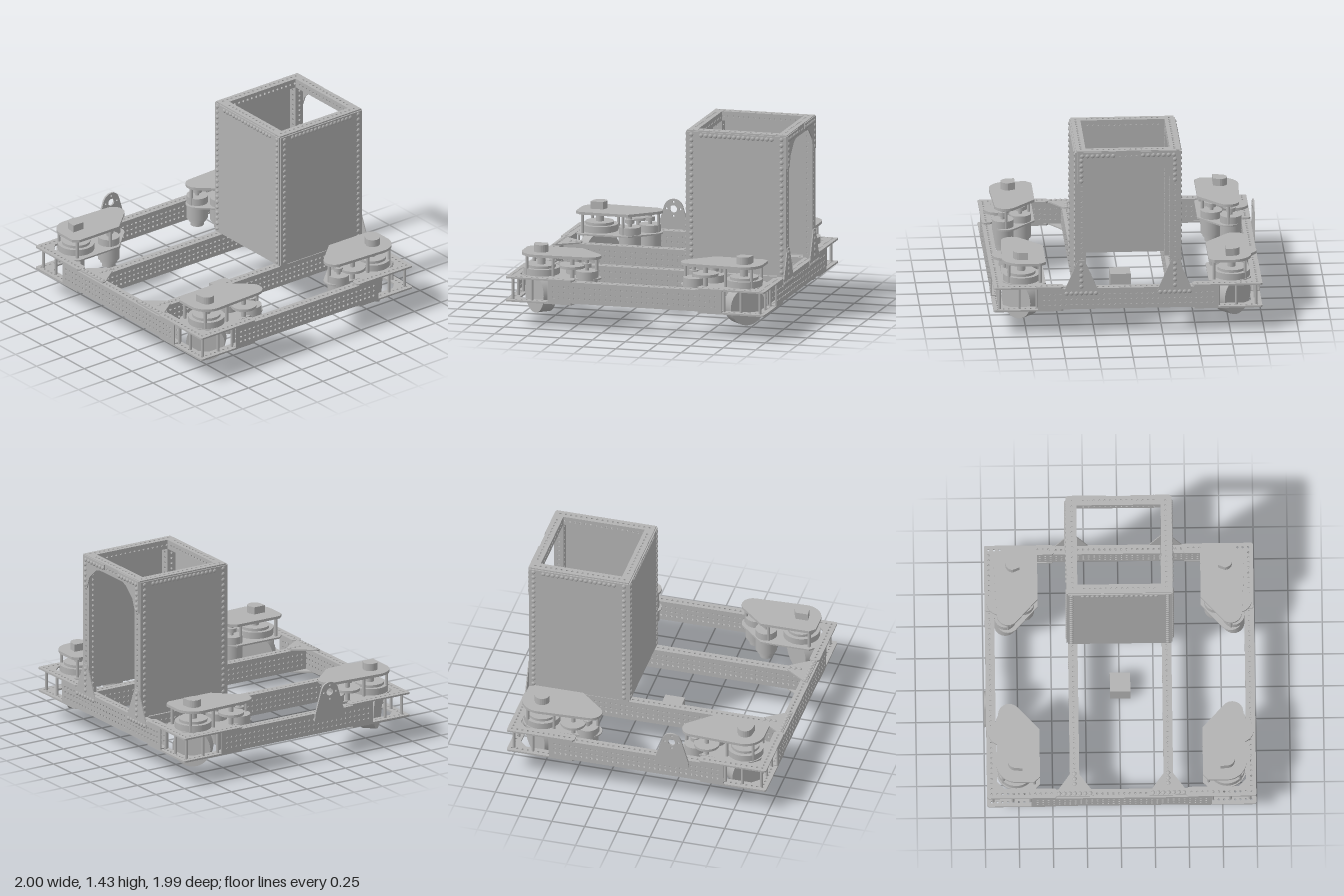
import * as THREE from 'three';
import { mergeGeometries } from 'three/addons/utils/BufferGeometryUtils.js';

const metal = new THREE.MeshStandardMaterial({ color: 0xb2b2b2 });
metal.name = 'plain aluminium';

const WALL = 0.008;      // tube wall
const PITCH = 0.04;      // hole spacing
const W = 0.07;          // tube width
const RAIL_H = 0.16, RAIL_Y = 0.285;
const IN = 0.345;        // inner rail offset
const EDGE = 0.955;      // outer rail centre line

function holePath(x, y, r, n = 8) {
  const pts = [];
  for (let i = 0; i < n; i++) {
    const a = (i / n) * Math.PI * 2;
    pts.push(new THREE.Vector2(x + r * Math.cos(a), y + r * Math.sin(a)));
  }
  return new THREE.Path(pts);
}

// Flat plate in XY, thickness along +z; holes are [x, y, r, sides]
function plate(pts, t, holes = []) {
  const s = new THREE.Shape(pts.map(([x, y]) => new THREE.Vector2(x, y)));
  s.holes = holes.map((h) => holePath(...h));
  return new THREE.ExtrudeGeometry(s, { depth: t, bevelEnabled: false });
}

// Horizontal plate drawn in XZ, hanging down from its top height
function slab(pts, top, t, holes) {
  return plate(pts, t, holes).rotateX(Math.PI / 2).translate(0, top, 0);
}

function perforated(len, h, rows) {
  const holes = [], n = Math.floor((len - 0.02) / PITCH);
  for (let r = 0; r < rows; r++)
    for (let i = 0; i < n; i++)
      holes.push([(i - (n - 1) / 2) * PITCH, (r - (rows - 1) / 2) * PITCH, 0.009]);
  const a = len / 2, b = h / 2;
  return plate([[-a, -b], [a, -b], [a, b], [-a, b]], WALL, holes);
}

// Hollow perforated tube along x
function tube(len, h, rows) {
  const parts = [];
  for (const a of [0, Math.PI]) {
    parts.push(perforated(len, h, rows).translate(0, 0, W / 2 - WALL).rotateY(a));
    parts.push(perforated(len, W - 2 * WALL, 1).translate(0, 0, h / 2 - WALL).rotateX(a - Math.PI / 2));
  }
  return mergeGeometries(parts);
}

function arc(cx, cy, r, a0, a1, n = 12) {
  const out = [];
  for (let i = 0; i <= n; i++) {
    const a = THREE.MathUtils.degToRad(a0 + ((a1 - a0) * i) / n);
    out.push([cx + r * Math.cos(a), cy + r * Math.sin(a)]);
  }
  return out;
}

export function createModel() {
  const model = new THREE.Group();
  model.name = 'wheeledChassis';
  const body = new THREE.Group();
  body.name = 'chassis';
  body.position.x = 0.006;
  model.add(body);

  const add = (name, geo, x = 0, y = 0, z = 0, parent = body) => {
    const m = new THREE.Mesh(geo, metal);
    m.name = name;
    m.position.set(x, y, z);
    parent.add(m);
    return m;
  };
  const disc = (r, y0, y1, n = 24) => new THREE.CylinderGeometry(r, r, y1 - y0, n).translate(0, (y0 + y1) / 2, 0);

  // Rivet heads: list of [x, y, z], dome pointing along +y before turn()
  const rivets = (name, list, turn) => add(name, mergeGeometries(list.map(([x, y, z]) =>
    turn(new THREE.SphereGeometry(0.016, 8, 3, 0, Math.PI * 2, 0, Math.PI / 2).scale(1, 0.6, 1)).translate(x, y, z))));
  const up = (g) => g;
  const front = (g) => g.rotateX(Math.PI / 2);
  const back = (g) => g.rotateX(-Math.PI / 2);

  // Base frame rails
  for (const s of [-1, 1]) {
    add('crossRail', tube(1.33, RAIL_H, 3), 0, RAIL_Y, s * EDGE);
    add('sideRail', tube(1.33, RAIL_H, 3).rotateY(Math.PI / 2), s * EDGE, RAIL_Y, 0);
    add('innerRail', tube(1.84, RAIL_H, 3).rotateY(Math.PI / 2), s * IN, RAIL_Y, 0);
  }

  // Triangular plates joining inner rails to the front rail
  for (const s of [-1, 1]) {
    const x = s * IN;
    const tri = [[x - 0.14, 0.975], [x + 0.14, 0.975], [x + 0.14, 0.95], [x + 0.025, 0.79], [x - 0.025, 0.79], [x - 0.14, 0.95]];
    add('frontGusset', slab(tri, 0.375, 0.01));
    add('frontGussetLower', slab(tri, 0.205, 0.01));
    const list = [0.8, 0.84, 0.88].map((z) => [x, 0.375, z]);
    for (let i = -3; i <= 3; i++) list.push([x + i * 0.038, 0.375, 0.955]);
    rivets('frontGussetRivets', list, up);
  }

  // Drive module at each corner
  for (const sx of [-1, 1]) for (const sz of [-1, 1]) {
    const mod = new THREE.Group();
    mod.name = 'driveModule';
    body.add(mod);
    const at = (pts) => pts.map(([x, z, ...r]) => [x * sx, z * sz, ...r]);
    const put = (name, geo, x = 0, z = 0) => add(name, geo, x * sx, 0, z * sz, mod);

    // L-shaped corner plates
    const ell = at([...arc(0.975, 0.975, 0.015, 0, 90, 4), [0.49, 0.99], [0.475, 0.975], [0.475, 0.93], [0.49, 0.915],
      [0.86, 0.915], [0.915, 0.86], [0.915, 0.49], [0.93, 0.475], [0.975, 0.475], [0.99, 0.49]]);
    const dots = [[EDGE, EDGE, 0.009]];
    for (let i = 1; i < 12; i++) dots.push([EDGE - i * PITCH, EDGE, 0.009], [EDGE, EDGE - i * PITCH, 0.009]);
    put('cornerPlateTop', slab(ell, 0.378, 0.013, at(dots)));
    put('cornerPlateBottom', slab(ell, 0.205, 0.013, at(dots)));
    for (const [x, z] of [[0.945, 0.945], [0.945, 0.8], [0.8, 0.945], [0.67, 0.945], [0.945, 0.67]])
      put('cornerPost', disc(0.011, 0.2, 0.37, 10), x, z);

    // Deck and raised cover share one rounded outline
    const outline = at([[0.6, 0.88], [0.6, 0.51], ...arc(0.82, 0.39, 0.082, -135, 0), ...arc(0.775, 0.775, 0.145, 0, 90), [0.64, 0.92]]);
    put('moduleDeck', slab(outline, 0.376, 0.012));
    put('moduleCover', slab(outline, 0.54, 0.02));
    for (const [x, z] of [[0.64, 0.87], [0.64, 0.56], [0.87, 0.86], [0.87, 0.66], [0.82, 0.34]])
      put('coverPost', disc(0.012, 0.37, 0.525, 10), x, z);

    // Steering turret, gears and cap
    put('turret', disc(0.135, 0.375, 0.425, 36), 0.775, 0.775);
    put('turretStep', disc(0.105, 0.425, 0.445, 32), 0.775, 0.775);
    put('turretShaft', disc(0.03, 0.44, 0.525, 16), 0.775, 0.775);
    put('gear', disc(0.095, 0.455, 0.475, 32), 0.88, 0.51);
    put('gearShaft', disc(0.018, 0.37, 0.525, 12), 0.88, 0.51);
    put('sensorCap', slab(at([[0.73, 0.835], [0.73, 0.74], ...arc(0.78, 0.775, 0.055, -90, 90)]), 0.595, 0.06));

    // Pair of hanging motors
    for (const [x, z] of [[0.84, 0.41], [0.705, 0.525]]) {
      put('motor', disc(0.08, 0.25, 0.43), x, z);
      put('motorNeck', disc(0.065, 0.225, 0.25), x, z);
      put('motorEnd', disc(0.05, 0.19, 0.225, 16), x, z);
      put('motorShaft', disc(0.015, 0.43, 0.525, 12), x, z);
      put('pinion', disc(0.035, 0.455, 0.485, 16), x, z);
    }

    // Wheel with its axle pointing outward along the diagonal
    const wheel = new THREE.CylinderGeometry(0.143, 0.143, 0.107, 40).rotateZ(Math.PI / 2).rotateY(-Math.atan2(sz, sx));
    put('wheel', wheel.translate(0, 0.228, 0), 0.78, 0.78);
  }

  // Tower posts and top ring
  const ZB = -0.95, ZF = -0.26, ZM = (ZB + ZF) / 2, TOP = 1.395;
  for (const s of [-1, 1]) {
    for (const z of [ZB, ZF])
      add('towerPost', tube(0.995, W, 1).rotateZ(Math.PI / 2), s * IN, 0.8625, z);
    add('towerSideBeam', tube(ZF - ZB + W, W, 1).rotateY(Math.PI / 2), s * IN, TOP, ZM);
  }
  for (const z of [ZB, ZF]) add('towerCrossBeam', tube(2 * IN - W, W, 1), 0, TOP, z);

  // Tower panels on the front and both sides, with riveted edges
  const edgeRivets = (half) => {
    const list = [];
    for (let i = 0; i < 24; i++) for (const s of [-1, 1]) list.push([s * half, 0.4 + i * 0.0434]);
    for (let i = 0; i < 16; i++) list.push([(i / 15 - 0.5) * 0.54, TOP]);
    return list;
  };
  add('frontPanel', new THREE.BoxGeometry(0.76, 1.045, 0.01), 0, 0.8975, -0.22);
  rivets('frontPanelRivets', edgeRivets(0.355).map(([x, y]) => [x, y, -0.215]), front);
  for (const s of [-1, 1]) {
    add('sidePanel', new THREE.BoxGeometry(0.01, 1.045, 0.76), s * 0.385, 0.8975, ZM);
    rivets('sidePanelRivets', edgeRivets(0.345).map(([z, y]) => [s * 0.39, y, z + ZM]), (g) => g.rotateZ(-s * Math.PI / 2));
  }

  // Gussets on the open back of the tower
  for (const s of [-1, 1]) {
    const x = s * IN;
    const foot = [[x - 0.13, 0.31], [x + 0.13, 0.31], [x + 0.13, 0.34], [x + 0.025, 0.58], [x - 0.025, 0.58], [x - 0.13, 0.34]];
    add('footGusset', plate(foot, 0.008), 0, 0, -0.993);
    const corner = [[0.375, 1.425], [0.09, 1.425], [0.09, 1.385], [0.2, 1.35], [0.29, 1.27], [0.325, 1.18], [0.375, 1.18]];
    add('topGusset', plate(corner.map(([a, b]) => [a * s, b]), 0.008), 0, 0, -0.993);
    const list = [];
    for (let i = 0; i < 7; i++) list.push([x + (i - 3) * 0.036, 0.328, -0.993], [s * (0.11 + i * 0.038), TOP, -0.993]);
    for (let i = 0; i < 5; i++) list.push([x, 0.38 + i * 0.042, -0.993], [x, 1.2 + i * 0.04, -0.993]);
    rivets('backGussetRivets', list, back);
  }

  // Lifting lug on the side rail
  const lug = [[-0.13, 0.31], [0.13, 0.31], [0.125, 0.36], ...arc(0, 0.517, 0.075, 15, 165, 16), [-0.125, 0.36]];
  const lugHoles = [[0, 0.517, 0.028, 20], [0, 0.57, 0.008], [0.053, 0.517, 0.008], [-0.053, 0.517, 0.008], [0, 0.464, 0.008]];
  add('liftingLug', plate(lug, 0.014, lugHoles).rotateY(-Math.PI / 2), -0.991, 0, 0.275);

  // Loose cube under the middle
  add('cube', new THREE.BoxGeometry(0.15, 0.15, 0.15), 0, 0.075, 0.005);

  return model;
}
